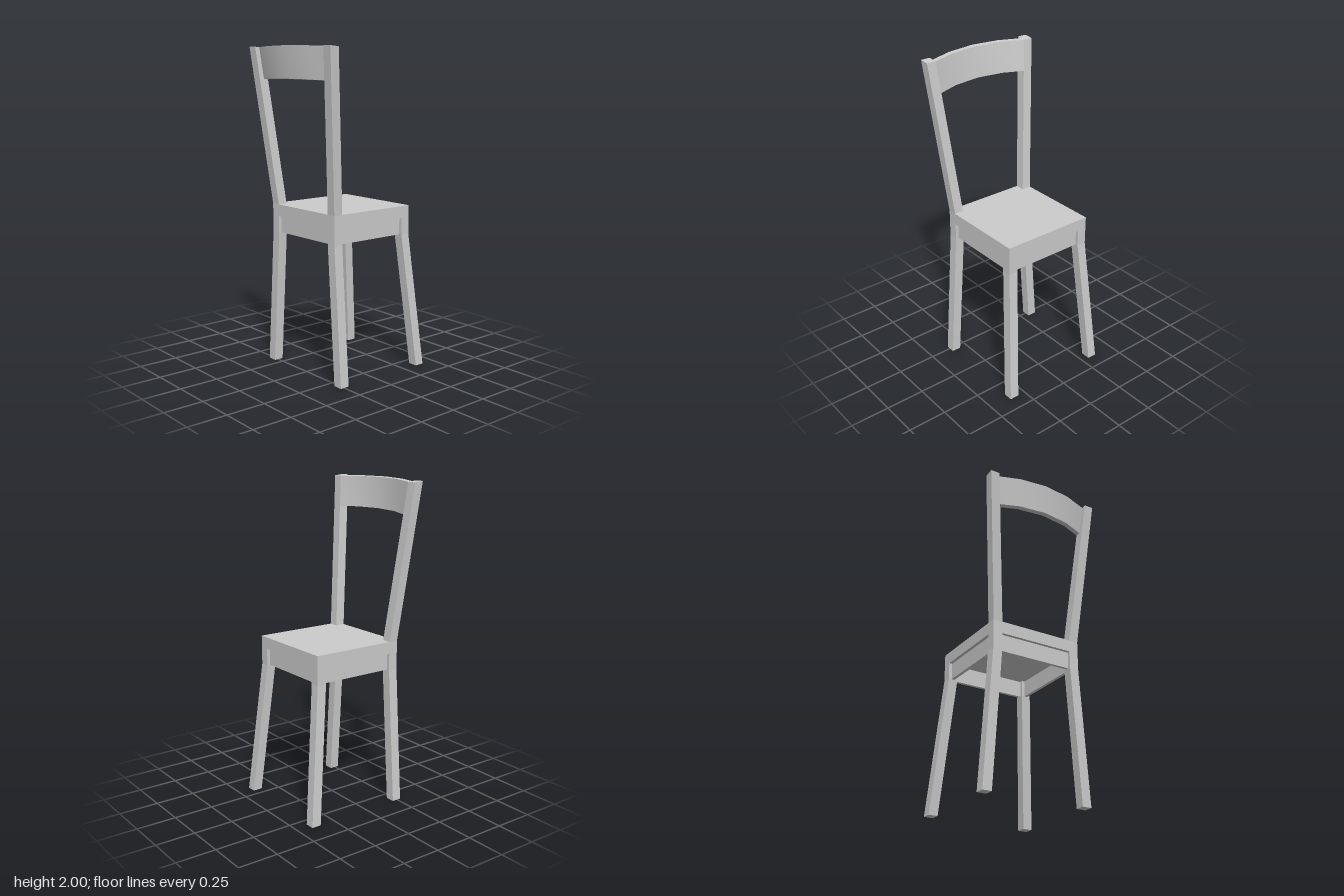
import * as THREE from 'three';
import { toCreasedNormals } from 'three/addons/utils/BufferGeometryUtils.js';

const material = new THREE.MeshStandardMaterial({ color: 0xcccccc });
const LEG = 0.06;      // square leg thickness
const TILT = 0.105;    // lean of the backrest
const SEAT_TOP = 1.03, SEAT_BOTTOM = 0.955, APRON_BOTTOM = 0.85;

// Solid through a series of four-cornered cross-sections
function loft(rings) {
  const pos = [];
  const quad = (a, b, c, d) => pos.push(...a, ...b, ...c, ...a, ...c, ...d);
  for (let r = 0; r < rings.length - 1; r++) {
    for (let i = 0; i < 4; i++) {
      const j = (i + 1) % 4;
      quad(rings[r][i], rings[r][j], rings[r + 1][j], rings[r + 1][i]);
    }
  }
  const s = rings[0], e = rings[rings.length - 1];
  quad(s[3], s[2], s[1], s[0]);
  quad(e[0], e[1], e[2], e[3]);
  const geo = new THREE.BufferGeometry();
  geo.setAttribute('position', new THREE.Float32BufferAttribute(pos, 3));
  geo.computeVertexNormals();
  return geo;
}

// Horizontal square section of a leg; slope tips the section backwards
function legSection(x, y, z, slope = 0) {
  const h = LEG / 2;
  return [[-h, h], [h, h], [h, -h], [-h, -h]].map(([dx, dz]) => [x + dx, y - dx * slope, z + dz]);
}

export function createModel() {
  const group = new THREE.Group();
  const add = (name, geo, x = 0, y = 0, z = 0) => {
    const mesh = new THREE.Mesh(geo, material);
    mesh.name = name;
    mesh.position.set(x, y, z);
    group.add(mesh);
  };

  // Seat board
  add('seat', new THREE.BoxGeometry(0.6, SEAT_TOP - SEAT_BOTTOM, 0.6), 0.025, (SEAT_TOP + SEAT_BOTTOM) / 2, 0);

  // Aprons, set back from the seat edge and spanning between the legs
  const apronH = SEAT_BOTTOM - APRON_BOTTOM, apronY = APRON_BOTTOM + apronH / 2;
  for (const s of [1, -1]) {
    add('sideApron', new THREE.BoxGeometry(0.48, apronH, 0.02), 0.025, apronY, s * 0.27);
    add(s > 0 ? 'frontApron' : 'backApron', new THREE.BoxGeometry(0.02, apronH, 0.48), 0.025 + s * 0.27, apronY, 0);
  }

  // Legs: splayed below the seat; the back pair carries on as backrest posts
  for (const s of [1, -1]) {
    add('frontLeg', loft([
      legSection(0.38, 0, s * 0.33),
      legSection(0.295, APRON_BOTTOM, s * 0.27),
      legSection(0.295, SEAT_BOTTOM, s * 0.27),
    ]));
    add('backLeg', loft([
      legSection(-0.245, 0, s * 0.33),
      legSection(-0.245, APRON_BOTTOM, s * 0.27),
      legSection(-0.245, SEAT_TOP, s * 0.27),
      legSection(-0.345, 1.993, s * 0.357, TILT),
    ]));
  }

  // Curved, leaning top rail: [z at top, z at bottom, x of front top edge]
  const stations = [
    [-0.327, -0.31, -0.315], [-0.18, -0.175, -0.36], [0, 0, -0.38],
    [0.18, 0.175, -0.36], [0.327, 0.31, -0.315],
  ];
  const topY = x => 2 - (x + 0.41) * TILT;
  const bottomY = x => 1.81 - (x + 0.39) * TILT;
  const rail = loft(stations.map(([zt, zb, x]) => {
    const f = x + 0.02, t = 0.03;
    return [
      [f - t, bottomY(f - t), zb], [f, bottomY(f), zb],
      [x, topY(x), zt], [x - t, topY(x - t), zt],
    ];
  }));
  add('topRail', toCreasedNormals(rail, 0.5));

  return group;
}
